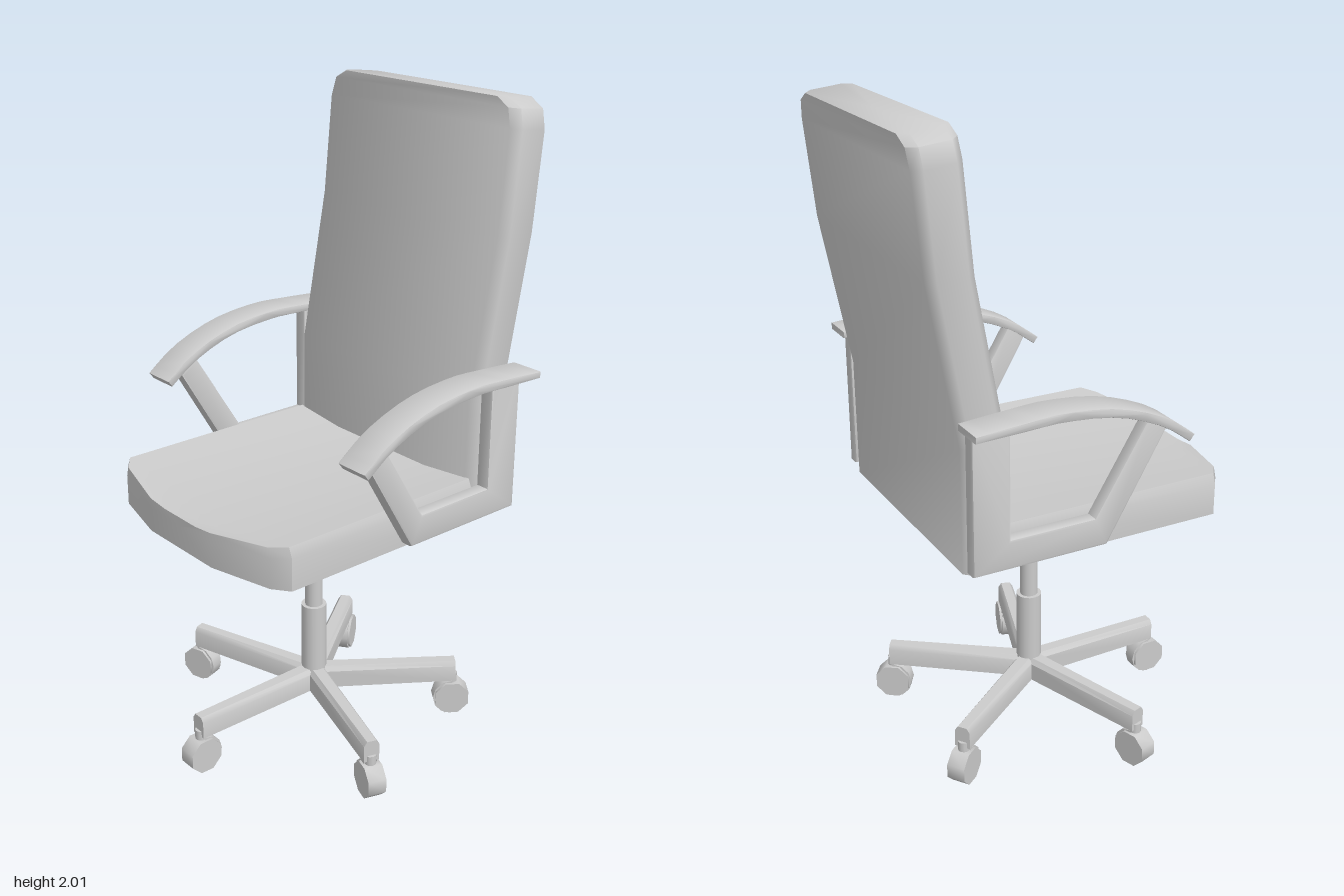
import * as THREE from 'three';
import { toCreasedNormals } from 'three/addons/utils/BufferGeometryUtils.js';

const material = new THREE.MeshStandardMaterial({ color: 0xcccccc });

function add(parent, name, geometry, x = 0, y = 0, z = 0) {
  const mesh = new THREE.Mesh(geometry, material);
  mesh.name = name;
  mesh.position.set(x, y, z);
  parent.add(mesh);
  return mesh;
}

// Closed skin over rings of [x, y, z] points, each counter-clockwise about the loft direction
function loft(rings, crease = 0.9) {
  const n = rings[0].length, pos = [];
  const tri = (a, b, c) => pos.push(...a, ...b, ...c);
  for (let i = 0; i < rings.length - 1; i++) {
    for (let j = 0; j < n; j++) {
      const k = (j + 1) % n, p = rings[i], q = rings[i + 1];
      tri(p[j], p[k], q[k]);
      tri(p[j], q[k], q[j]);
    }
  }
  const centre = r => [0, 1, 2].map(a => r.reduce((s, p) => s + p[a], 0) / n);
  const first = rings[0], last = rings[rings.length - 1];
  const c0 = centre(first), c1 = centre(last);
  for (let j = 0; j < n; j++) {
    const k = (j + 1) % n;
    tri(c0, first[k], first[j]);
    tri(c1, last[j], last[k]);
  }
  const g = new THREE.BufferGeometry();
  g.setAttribute('position', new THREE.Float32BufferAttribute(pos, 3));
  return toCreasedNormals(g, crease);
}

// Side outline of [z, y] points, extruded from x0 to x1 with softened edges
function sidePlate(points, x0, x1, bevel) {
  const shape = new THREE.Shape(points.map(p => new THREE.Vector2(p[0], p[1])));
  const g = new THREE.ExtrudeGeometry(shape, {
    depth: x1 - x0 - 2 * bevel, bevelEnabled: true, bevelThickness: bevel,
    bevelSize: bevel, bevelOffset: -bevel, bevelSegments: 2
  });
  g.rotateY(-Math.PI / 2).translate(x1 - bevel, 0, 0);
  return toCreasedNormals(g, 0.6);
}

const spline = pts => new THREE.SplineCurve(pts.map(p => new THREE.Vector2(...p)))
  .getPoints(14).map(p => [p.x, p.y]);

export function createModel() {
  const chair = new THREE.Group();
  chair.name = 'officeChair';

  // Seat: dished cushion with a tapered front; rows are [z, half width, top]
  const seatRows = [[-0.265, 0.4, 0.905], [0.42, 0.4, 0.905], [0.457, 0.35, 0.898], [0.507, 0.15, 0.882]];
  add(chair, 'seat', loft(seatRows.map(([z, w, t]) => {
    const dip = 0.02 * w / 0.4;
    return [[-w, 0.775], [w, 0.775], [w, t - 0.03], [w * 0.97, t], [w * 0.5, t - dip],
      [-w * 0.5, t - dip], [-w * 0.97, t], [-w, t - 0.03]].map(([x, y]) => [x, y, z]);
  })));

  // Backrest: bent slab with clipped top corners; rows are [y, half width, front z, rear z]
  const backRows = [[0.775, 0.4, -0.263, -0.4], [1.15, 0.4, -0.263, -0.402], [1.62, 0.4, -0.35, -0.49],
    [1.92, 0.4, -0.378, -0.518], [1.975, 0.385, -0.383, -0.523], [2, 0.34, -0.385, -0.525]];
  add(chair, 'backrest', loft(backRows.map(([y, w, f, r]) => {
    const b = 0.025, drop = y > 1.9 ? 0.015 : 0;
    return [[-w + b, f], [w - b, f], [w, f - b], [w, r + b], [w - b, r], [-w + b, r], [-w, r + b], [-w, f - b]]
      .map(([x, z]) => [x, y - drop * (f - z) / (f - r), z]);
  })));

  // Armrests: U-shaped frame under a curved pad, mirrored
  const frame = [[0.21, 1.12], [0.02, 0.795], [-0.4, 0.795], [-0.4, 1.23], [-0.285, 1.23],
    [-0.285, 0.885], [-0.02, 0.885], [0.15, 1.162]].reverse();
  const padTop = spline([[0.26, 1.11], [0.16, 1.18], [0.01, 1.235], [-0.15, 1.255], [-0.28, 1.25], [-0.418, 1.24]]);
  const padBottom = spline([[-0.418, 1.22], [-0.28, 1.225], [-0.15, 1.228], [0.01, 1.208], [0.15, 1.155], [0.245, 1.09]]);
  const pad = [...padTop, ...padBottom];
  for (const side of [1, -1]) {
    const arm = new THREE.Group();
    arm.name = side > 0 ? 'leftArmrest' : 'rightArmrest';
    const [f0, f1] = side > 0 ? [0.4, 0.447] : [-0.447, -0.4];
    const [p0, p1] = side > 0 ? [0.4, 0.508] : [-0.508, -0.4];
    add(arm, 'armFrame', sidePlate(frame, f0, f1, 0.008));
    add(arm, 'armPad', sidePlate(pad, p0, p1, 0.004));
    chair.add(arm);
  }

  // Column and five-legged base
  const base = new THREE.Group();
  base.name = 'base';
  base.position.z = 0.01;
  chair.add(base);
  add(base, 'gasLift', new THREE.CylinderGeometry(0.028, 0.028, 0.4, 16), 0, 0.6, 0);
  add(base, 'columnSleeve', new THREE.CylinderGeometry(0.04, 0.04, 0.24, 16), 0, 0.295, 0);
  add(base, 'hub', new THREE.CylinderGeometry(0.04, 0.04, 0.08, 16), 0, 0.15, 0);

  const hoodShape = new THREE.CylinderGeometry(0.062, 0.062, 0.042, 6, 1, false, 0, Math.PI)
    .rotateZ(Math.PI / 2);
  const legRing = (z, w, bottom) => [[-w, bottom], [w, bottom], [w, 0.175], [w * 0.6, 0.19], [-w * 0.6, 0.19], [-w, 0.175]]
    .map(([x, y]) => [x, y, z]);
  for (let i = 0; i < 5; i++) {
    const leg = new THREE.Group();
    leg.name = 'leg' + (i + 1);
    leg.rotation.y = i * Math.PI * 2 / 5;
    add(leg, 'legBeam', loft([legRing(0, 0.03, 0.117), legRing(0.46, 0.025, 0.12)], 0.6));

    // Castor: octagonal wheel, narrower hood above it, and a stem
    const castor = new THREE.Group();
    castor.name = 'castor';
    castor.position.set(0, 0.055, 0.452);
    const wheel = new THREE.CylinderGeometry(0.058, 0.058, 0.058, 8).rotateY(Math.PI / 8).rotateZ(Math.PI / 2);
    add(castor, 'wheel', toCreasedNormals(wheel, 0.9));
    const hood = add(castor, 'hood', hoodShape);
    hood.material = new THREE.MeshStandardMaterial({ color: 0xcccccc, side: THREE.DoubleSide });
    hood.rotation.x = -Math.PI / 2;
    add(castor, 'stem', new THREE.CylinderGeometry(0.018, 0.018, 0.05, 10), 0, 0.06, 0);
    leg.add(castor);
    base.add(leg);
  }
  return chair;
}
